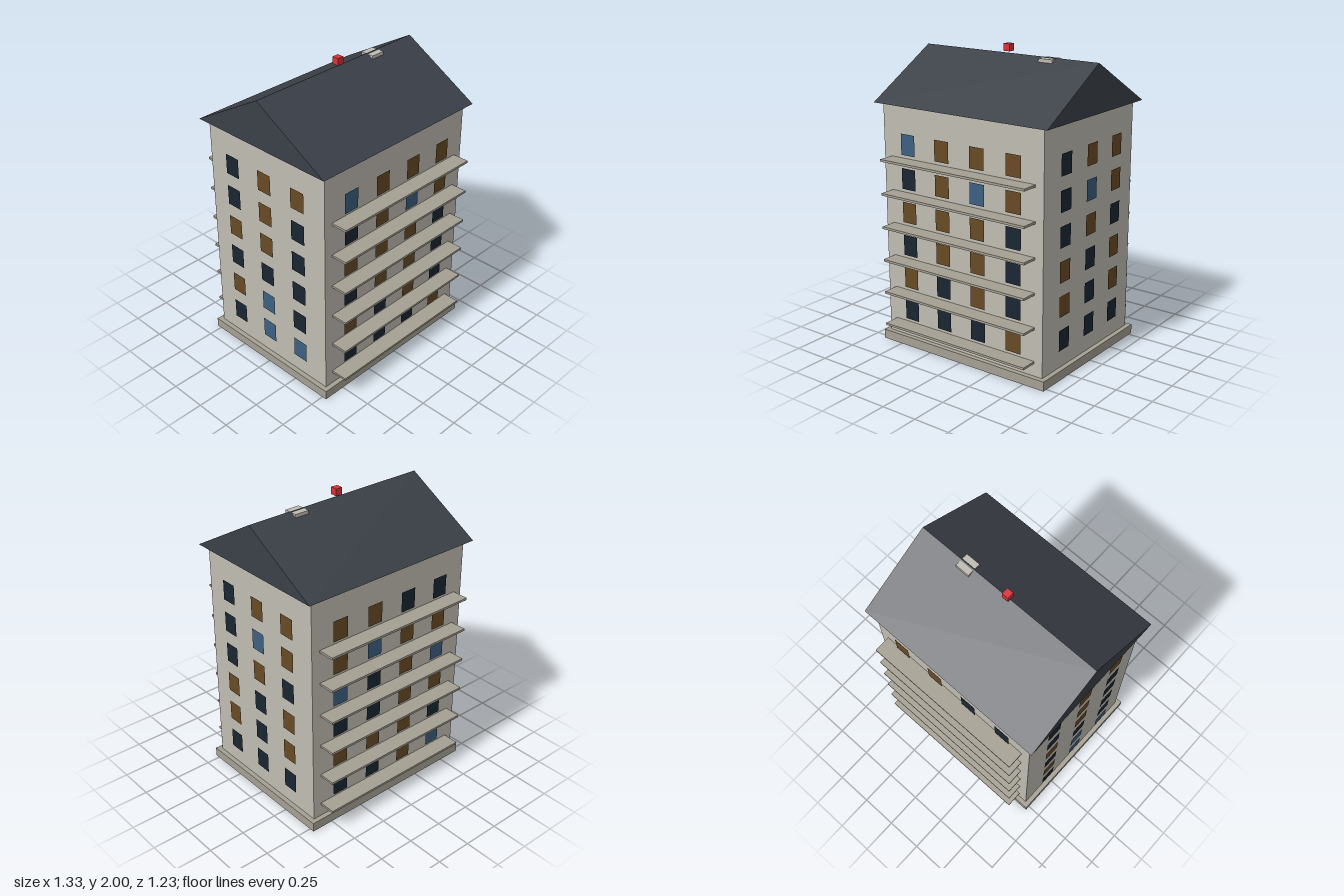
import * as THREE from 'three';

const mat = (color) => new THREE.MeshStandardMaterial({ color });

export function createModel() {
  const group = new THREE.Group();
  const wall = mat(0xc0bcb3), stone = mat(0xa5a093), slate = mat(0x3b4048), red = mat(0xd93338);
  const panes = { D: mat(0x1a2632), O: mat(0x684a24), B: mat(0x3d5f80) };

  // Box given by its size, centre and bottom height
  const box = (name, w, h, d, x, bottom, z, material) => {
    const mesh = new THREE.Mesh(new THREE.BoxGeometry(w, h, d), material);
    mesh.position.set(x, bottom + h / 2, z);
    mesh.name = name;
    group.add(mesh);
  };

  box('plinth', 1.31, 0.063, 1.065, 0, 0, 0, stone);
  box('walls', 1.245, 1.57, 1.0, 0, 0.06, 0, wall);
  box('chimney', 0.1, 0.05, 0.096, 0.31, 1.885, 0, wall);
  box('roofBeacon', 0.047, 0.047, 0.047, 0, 1.953, 0, red);

  // Gable roof, ridge along x
  const gable = new THREE.Shape([
    new THREE.Vector2(-0.541, 1.63),
    new THREE.Vector2(0.541, 1.63),
    new THREE.Vector2(0, 1.94),
  ]);
  const roofGeometry = new THREE.ExtrudeGeometry(gable, { depth: 1.334, bevelEnabled: false });
  roofGeometry.translate(0, 0, -0.667).rotateY(Math.PI / 2);
  const roof = new THREE.Mesh(roofGeometry, slate);
  roof.name = 'roof';
  group.add(roof);

  // Balcony slabs on the front and back of every floor
  const floors = 6, floorHeight = 0.225;
  for (let i = 0; i < floors; i++) {
    for (const side of [1, -1]) {
      box('balcony', 1.125, 0.015, 0.113, 0, 0.147 + i * floorHeight, side * 0.556, stone);
    }
  }

  // Window panes: rows from the top floor down, left to right seen from outside
  const facades = [
    { name: 'frontWindows', angle: 0, distance: 0.514, spacing: 0.275,
      rows: ['BOOO', 'DOBO', 'OOOD', 'DOOD', 'ODOD', 'DDDO'] },
    { name: 'leftWindows', angle: Math.PI / 2, distance: 0.637, spacing: 0.286,
      rows: ['DOO', 'DBO', 'DOD', 'ODO', 'ODO', 'DDD'] },
    { name: 'backWindows', angle: Math.PI, distance: 0.514, spacing: 0.275,
      rows: ['OODD', 'OBOO', 'BDOB', 'DDOO', 'OOOD', 'DDOB'] },
    { name: 'rightWindows', angle: -Math.PI / 2, distance: 0.637, spacing: 0.286,
      rows: ['DOO', 'DOD', 'OOD', 'DDD', 'OBD', 'DBB'] },
  ];
  const paneGeometry = new THREE.PlaneGeometry(0.112, 0.138);
  for (const { name, angle, distance, spacing, rows } of facades) {
    const facade = new THREE.Group();
    facade.name = name;
    facade.rotation.y = angle;
    rows.forEach((row, r) => [...row].forEach((kind, c) => {
      const pane = new THREE.Mesh(paneGeometry, panes[kind]);
      pane.name = 'window';
      pane.position.set((c - (row.length - 1) / 2) * spacing, 0.255 + (floors - 1 - r) * floorHeight, distance);
      facade.add(pane);
    }));
    group.add(facade);
  }
  return group;
}
